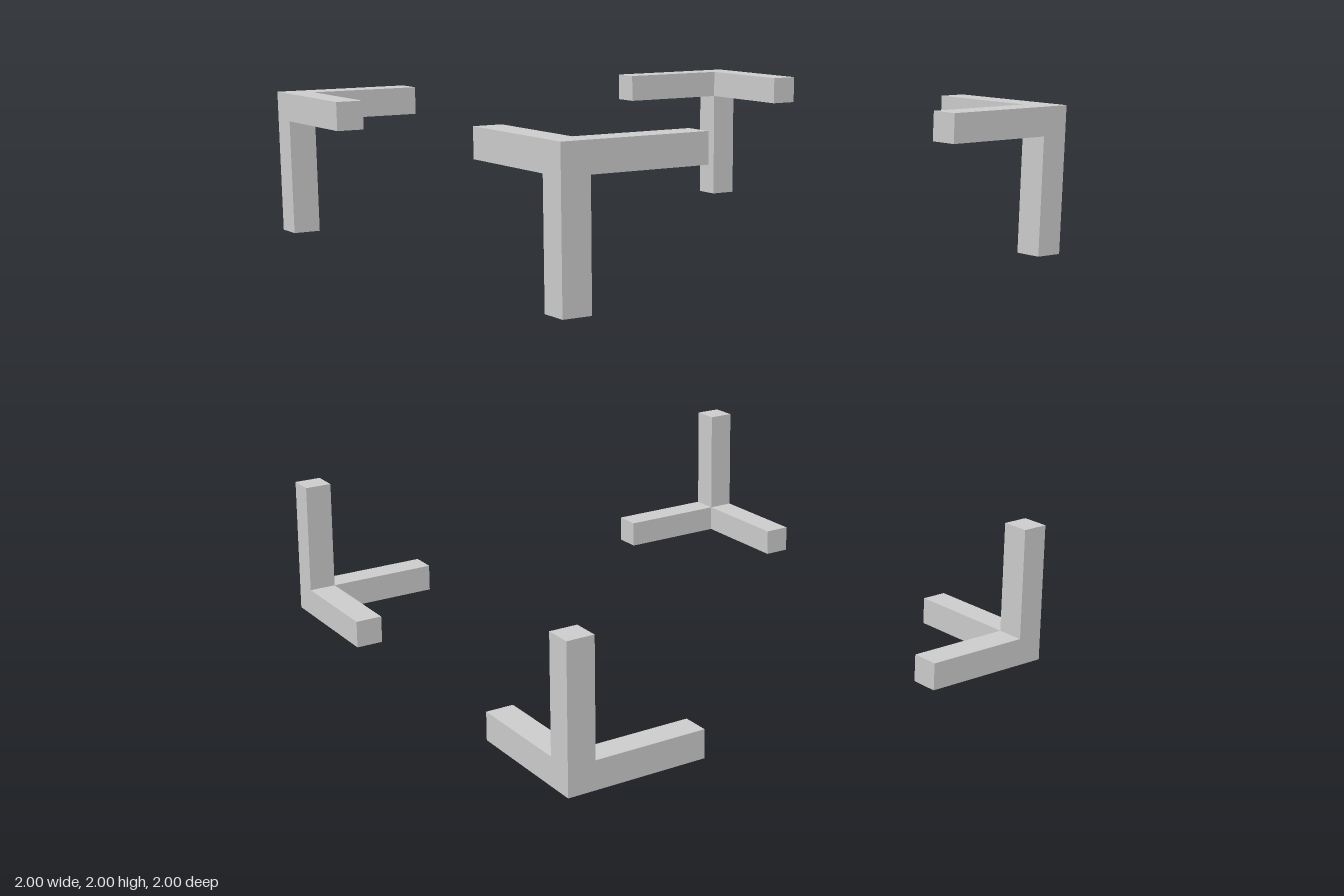
import * as THREE from 'three';

const HALF = 1;      // half the size of the cube outline
const THICK = 0.1;   // bar thickness
const REACH = 0.51;  // bar length, measured from the outer corner

const material = new THREE.MeshStandardMaterial({ color: 0xcccccc });

// Box without the listed sides (0..5 = +x, -x, +y, -y, +z, -z), so joined bars have no inner walls
function openBox(size, skipped) {
  const geometry = new THREE.BoxGeometry(...size);
  const index = Array.from(geometry.index.array);
  geometry.setIndex(index.filter((_, i) => !skipped.includes(Math.floor(i / 6))));
  geometry.clearGroups();
  return geometry;
}

const sideOf = (axis, sign) => axis * 2 + (sign > 0 ? 0 : 1);

// One corner bracket: a joint block with three bars running inward along the cube edges
function createBracket(signs) {
  const bracket = new THREE.Group();
  const jointCentre = signs.map((s) => s * (HALF - THICK / 2));

  const joint = new THREE.Mesh(
    openBox([THICK, THICK, THICK], signs.map((s, axis) => sideOf(axis, -s))), material);
  joint.name = 'cornerJoint';
  joint.position.fromArray(jointCentre);
  bracket.add(joint);

  ['sideBar', 'uprightBar', 'depthBar'].forEach((name, axis) => {
    const size = [THICK, THICK, THICK];
    size[axis] = REACH - THICK;
    const centre = [...jointCentre];
    centre[axis] = signs[axis] * (HALF - (THICK + REACH) / 2);
    const bar = new THREE.Mesh(openBox(size, [sideOf(axis, signs[axis])]), material);
    bar.name = name;
    bar.position.fromArray(centre);
    bracket.add(bar);
  });
  return bracket;
}

export function createModel() {
  const model = new THREE.Group();
  model.name = 'cornerBrackets';
  for (const x of [-1, 1]) for (const y of [-1, 1]) for (const z of [-1, 1]) {
    const bracket = createBracket([x, y, z]);
    bracket.name = (y > 0 ? 'top' : 'bottom') + (z > 0 ? 'Front' : 'Back') + (x > 0 ? 'Left' : 'Right') + 'Bracket';
    bracket.position.y = HALF; // stand on the ground
    model.add(bracket);
  }
  return model;
}
